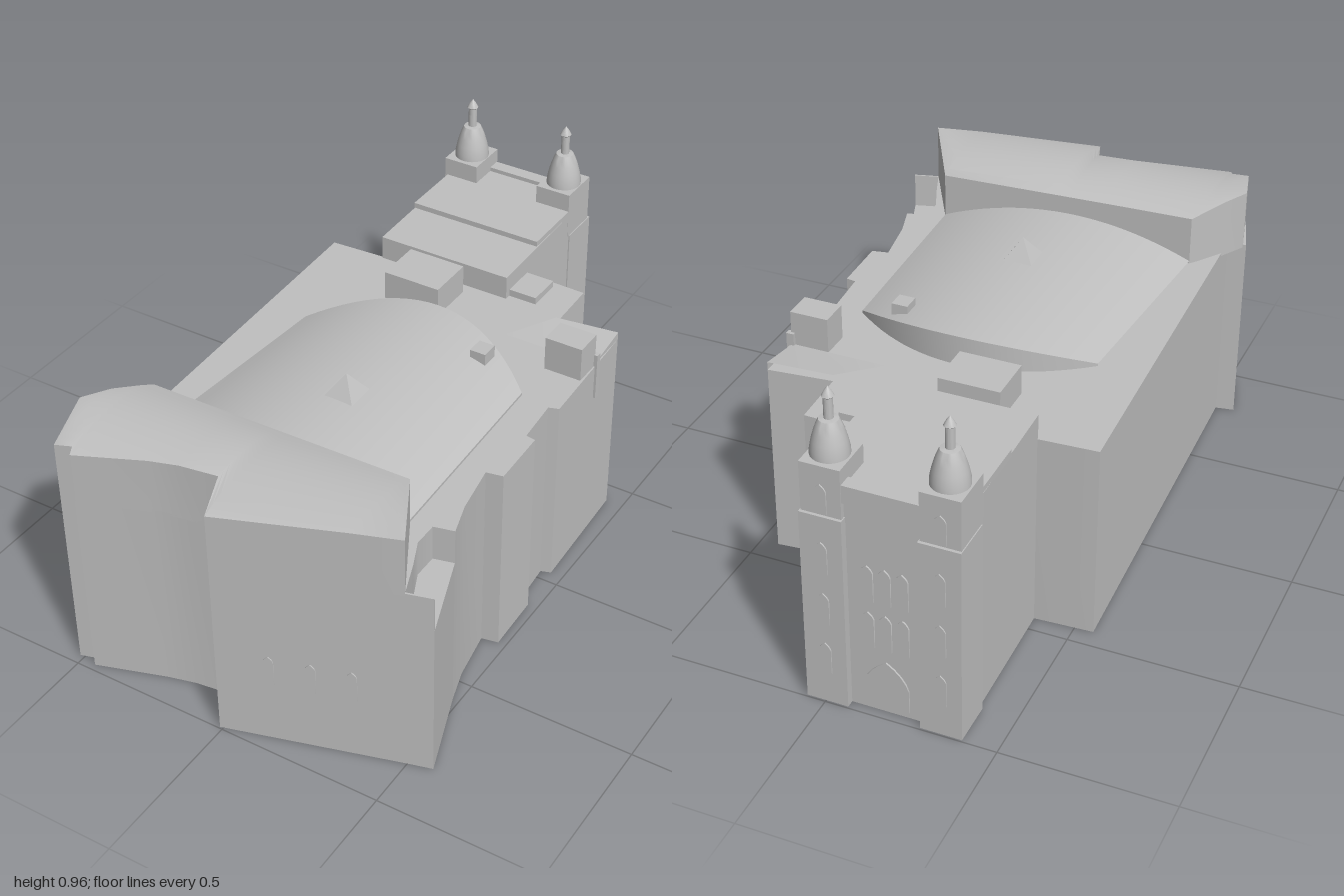
import * as THREE from 'three';
import { toCreasedNormals } from 'three/addons/utils/BufferGeometryUtils.js';

const stone = new THREE.MeshStandardMaterial({ color: 0xc0c0c0, side: THREE.DoubleSide });
stone.name = 'grey stone';

export function createModel() {
  const model = new THREE.Group();
  model.name = 'theatre building';

  const add = (name, geo, parent = model) => {
    const mesh = new THREE.Mesh(toCreasedNormals(geo, 0.5), stone);
    mesh.name = name;
    parent.add(mesh);
    return mesh;
  };

  // Vertical prism over a plan of [x, z] points
  const prism = (name, plan, y0, y1) => {
    const shape = new THREE.Shape(plan.map(([x, z]) => new THREE.Vector2(x, z)));
    const geo = new THREE.ExtrudeGeometry(shape, { depth: y1 - y0, bevelEnabled: false });
    return add(name, geo.rotateX(Math.PI / 2).translate(0, y1, 0));
  };

  const box = (name, x0, x1, y0, y1, z0, z1) =>
    add(name, new THREE.BoxGeometry(x1 - x0, y1 - y0, z1 - z0)
      .translate((x0 + x1) / 2, (y0 + y1) / 2, (z0 + z1) / 2));

  // Skin over equal-length rows of points; rows run along +x, points along +z
  const skin = (name, rows) => {
    const n = rows[0].length, index = [];
    for (let i = 0; i < rows.length - 1; i++)
      for (let j = 0; j < n - 1; j++) {
        const a = i * n + j, b = a + 1, c = b + n, d = a + n;
        index.push(a, b, c, a, c, d);
      }
    const geo = new THREE.BufferGeometry();
    geo.setAttribute('position', new THREE.Float32BufferAttribute(rows.flat(2), 3));
    geo.setIndex(index);
    geo.computeVertexNormals();
    return add(name, geo);
  };

  // Thin pointed-arch plate standing on y = 0, facing +z
  const arch = (name, w, h, x, y, z, turn) => {
    const s = new THREE.Shape();
    s.moveTo(-w / 2, 0);
    s.lineTo(w / 2, 0);
    s.lineTo(w / 2, h - w * 0.6);
    s.quadraticCurveTo(w * 0.4, h - w * 0.25, 0, h);
    s.quadraticCurveTo(-w * 0.4, h - w * 0.25, -w / 2, h - w * 0.6);
    const geo = new THREE.ExtrudeGeometry(s, { depth: 0.006, bevelEnabled: false, curveSegments: 4 });
    const mesh = add(name, geo);
    mesh.position.set(x, y, z);
    mesh.rotation.y = turn;
    return mesh;
  };

  // Main hall, with a scooped corner at the front
  const scoop = [[0.42, 0.585], [0.42, 0.66], [0.455, 0.74], [0.495, 0.846]];
  prism('mainHall', [
    [-0.555, -0.44], [-0.38, -0.45], [0.06, -0.45], [0.06, -0.6], [0.245, -0.595],
    [0.25, -0.41], [0.445, -0.43], [0.46, -0.04], [0.43, -0.03], [0.44, 0.115],
    [0.47, 0.12], [0.475, 0.305], [0.425, 0.315], [0.45, 0.47], [0.48, 0.57],
    ...scoop, [-0.01, 0.995], [-0.05, 0.875], [-0.165, 0.89], [-0.25, 0.912],
    [-0.455, 0.98], [-0.465, 0.955], [-0.515, 0.97], [-0.57, 0.8], [-0.513, 0.79],
  ], 0, 0.61);
  prism('cornerLedge', [...scoop].reverse().concat([[0.48, 0.57], [0.57, 0.825]]), 0, 0.5);
  prism('cornerParapet', [[0.495, 0.846], [0.57, 0.825], [0.568, 0.82], [0.493, 0.841]], 0.5, 0.61);

  // Raised front block with a rounded roof: x, back z, front z
  const roofY = z => z > 0.78 ? 0.789 - 0.85 * (z - 0.78) ** 2 : 0.789 - 1.05 * (z - 0.78) ** 2;
  const stations = [
    [-0.56, 0.8, 0.8], [-0.515, 0.72, 0.97], [-0.465, 0.645, 0.955], [-0.455, 0.632, 0.98],
    [-0.445, 0.62, 0.977], [-0.25, 0.616, 0.912], [-0.165, 0.614, 0.89], [-0.05, 0.611, 0.875],
    [-0.01, 0.61, 0.995], [0.36, 0.6, 0.887], [0.495, 0.845, 0.846],
  ];
  skin('frontBlock', stations.map(([x, zb, zf]) => {
    const row = [[x, 0.6, zb]];
    for (let k = 0; k <= 10; k++) {
      const z = zb + (zf - zb) * k / 10;
      row.push([x, roofY(z), z]);
    }
    return [...row, [x, 0.6, zf]];
  }));

  // Vaulted auditorium roof with a curved rear end
  const vault = [];
  for (let k = 0; k <= 24; k++) {
    const t = k / 12 - 1, y = 0.618 + 0.084 * (1 - t * t);
    const xb = -0.03 + 0.368 * t, xf = -0.0425 + 0.4025 * t, z = -0.192 + 0.15 * t * t;
    vault.push([[xb, 0.6, z], [xb, y, z], [xf, y, 0.62]]);
  }
  const edge = vault[24].map(([x, , z]) => [x, 0.6, z]);
  skin('vaultRoof', [...vault, edge]);

  add('skylight', new THREE.ConeGeometry(0.067, 0.068, 4).rotateY(Math.PI / 4).translate(-0.025, 0.732, 0.307));

  // Roof boxes
  box('vaultVent', 0.165, 0.215, 0.64, 0.702, -0.1, -0.045);
  box('roofBox', -0.255, -0.07, 0.6, 0.702, -0.41, -0.26);
  box('lowRoofBox', 0.06, 0.15, 0.6, 0.632, -0.575, -0.465);
  box('sideRoofBox', 0.33, 0.447, 0.6, 0.717, -0.28, -0.19);
  box('sideBracket', 0.435, 0.458, 0.5, 0.65, -0.29, -0.272);
  skin('sideLeanTo', [
    [[0.155, 0.611, -0.285], [0.155, 0.611, -0.28]],
    [[0.25, 0.63, -0.41], [0.25, 0.611, -0.28]],
    [[0.445, 0.635, -0.43], [0.445, 0.611, -0.28]],
    [[0.445, 0.6, -0.43], [0.445, 0.6, -0.28]],
  ]);

  // Rear wing
  prism('rearWing', [[-0.38, -0.445], [-0.39, -0.97], [0.05, -0.97], [0.06, -0.445]], 0, 0.685);
  box('rearWingRoof', -0.386, 0.053, 0.68, 0.702, -0.94, -0.645);
  box('rearParapet', -0.285, -0.06, 0.66, 0.715, -0.982, -0.94);

  // Twin rear towers with domed spires
  const spireProfile = [
    [0.054, 0], [0.053, 0.02], [0.048, 0.045], [0.041, 0.07], [0.034, 0.09], [0.027, 0.105],
    [0.013, 0.107], [0.013, 0.168], [0.017, 0.172], [0.009, 0.188], [0, 0.2],
  ].map(p => new THREE.Vector2(...p));
  for (const [x0, x1] of [[-0.395, -0.28], [-0.063, 0.053]]) {
    const x = (x0 + x1) / 2;
    box('towerTop', x0, x1, 0.6, 0.76, -0.985, -0.85);
    box('towerShaft', x0 - 0.003, x1 + 0.003, 0, 0.61, -0.994, -0.86);
    add('towerSpire', new THREE.LatheGeometry(spireProfile, 24)).position.set(x + 0.002, 0.758, -0.917);
    [0.1, 0.265, 0.43].forEach(y => arch('towerWindow', 0.035, 0.1, x, y, -0.992, Math.PI));
    arch('towerWindow', 0.035, 0.09, x, 0.615, -0.983, Math.PI);
  }

  // Rear facade: two rows of three windows above a pointed door
  for (const y of [0.21, 0.36])
    for (const x of [-0.222, -0.172, -0.122]) arch('facadeWindow', 0.036, 0.115, x, y, -0.969, Math.PI);
  arch('rearDoor', 0.13, 0.15, -0.172, 0.02, -0.969, Math.PI);

  // Front windows on the angled wall
  const slope = (0.995 - 0.825) / 0.58;
  for (const x of [0.133, 0.245, 0.355])
    arch('frontWindow', 0.029, 0.1, x, 0.2, 0.995 - slope * (x + 0.01) - 0.003, Math.atan(slope));

  return model;
}
